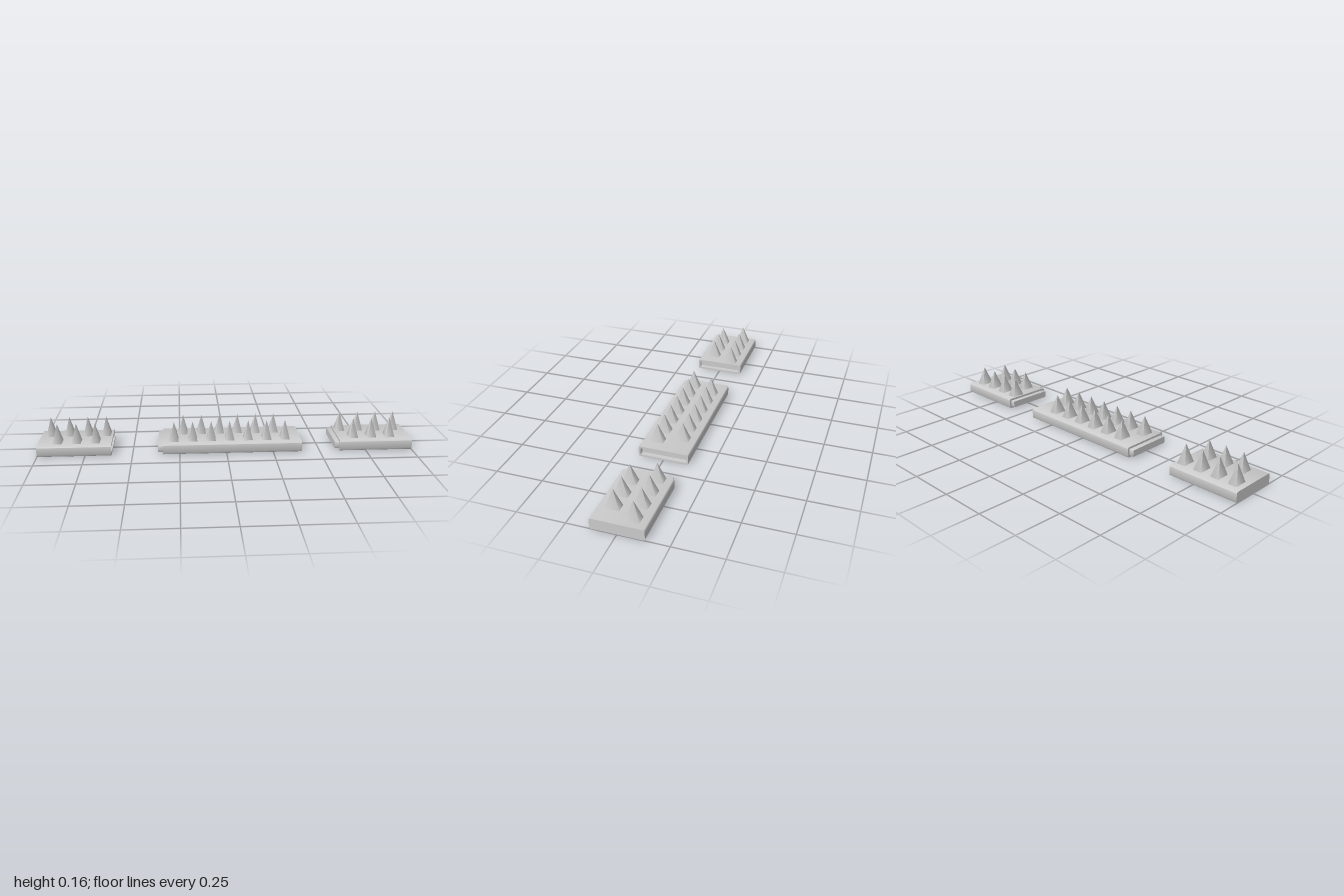
import * as THREE from 'three';
import { toCreasedNormals } from 'three/addons/utils/BufferGeometryUtils.js';

const material = new THREE.MeshStandardMaterial({ color: 0xcccccc });
const TOP = 0.058, HALF_Z = 0.133, JOINT = 0.026;

// Rounded cross-section in the z-y plane, inset evenly from the base outline
function outline(inset, r, Type = THREE.Shape) {
  const w = HALF_Z - inset, b = inset, t = TOP - inset;
  const s = new Type();
  s.moveTo(-w + r, b);
  s.lineTo(w - r, b);
  s.absarc(w - r, b + r, r, -Math.PI / 2, 0);
  s.absarc(w - r, t - r, r, 0, Math.PI / 2);
  s.absarc(-w + r, t - r, r, Math.PI / 2, Math.PI);
  s.absarc(-w + r, b + r, r, Math.PI, Math.PI * 1.5);
  return s;
}

// Cross-section swept along x from x0 to x1
function bar(name, shape, x0, x1) {
  const g = new THREE.ExtrudeGeometry(shape, { depth: x1 - x0, bevelEnabled: false, curveSegments: 5 });
  g.rotateY(Math.PI / 2);
  g.translate(x0, 0, 0);
  const mesh = new THREE.Mesh(toCreasedNormals(g, 0.7), material);
  mesh.name = name;
  return mesh;
}

// Four-sided pyramid spike with softly blended sides
const spikeGeometry = new THREE.CylinderGeometry(0.01, Math.SQRT2, 0.1, 4, 1);
spikeGeometry.rotateY(Math.PI / 4);
spikeGeometry.scale(0.024, 1, 0.036);
spikeGeometry.translate(0, 0.05, 0);

function section({ name, x0, x1, tongue, socket, back, front }) {
  const group = new THREE.Group();
  group.name = name;
  const solidEnd = socket ? x1 - JOINT : x1;
  group.add(bar('base', outline(0, 0.01), x0, solidEnd));

  // Hollow rim that receives the neighbouring tongue
  if (socket) {
    const rim = outline(0, 0.01);
    rim.holes.push(outline(0.01, 0.004, THREE.Path));
    group.add(bar('socketRim', rim, solidEnd, x1));
  }
  if (tongue) group.add(bar('tongue', outline(0.011, 0.004), x0 - JOINT, x0));

  // Two staggered rows of spikes
  for (const [[start, count], z] of [[back, -0.059], [front, 0.059]]) {
    for (let i = 0; i < count; i++) {
      const spike = new THREE.Mesh(spikeGeometry, material);
      spike.name = 'spike';
      spike.position.set(start + i * 0.0995, TOP, z);
      group.add(spike);
    }
  }
  return group;
}

export function createModel() {
  const model = new THREE.Group();
  model.name = 'spikeStrip';
  model.add(
    section({ name: 'rightEndSection', x0: -1, x1: -0.611, tongue: false, socket: true, back: [-0.946, 4], front: [-0.896, 3] }),
    section({ name: 'middleSection', x0: -0.339, x1: 0.402, tongue: true, socket: true, back: [-0.229, 6], front: [-0.279, 7] }),
    section({ name: 'leftEndSection', x0: 0.608, x1: 1, tongue: true, socket: false, back: [0.64, 4], front: [0.69, 3] })
  );
  return model;
}
